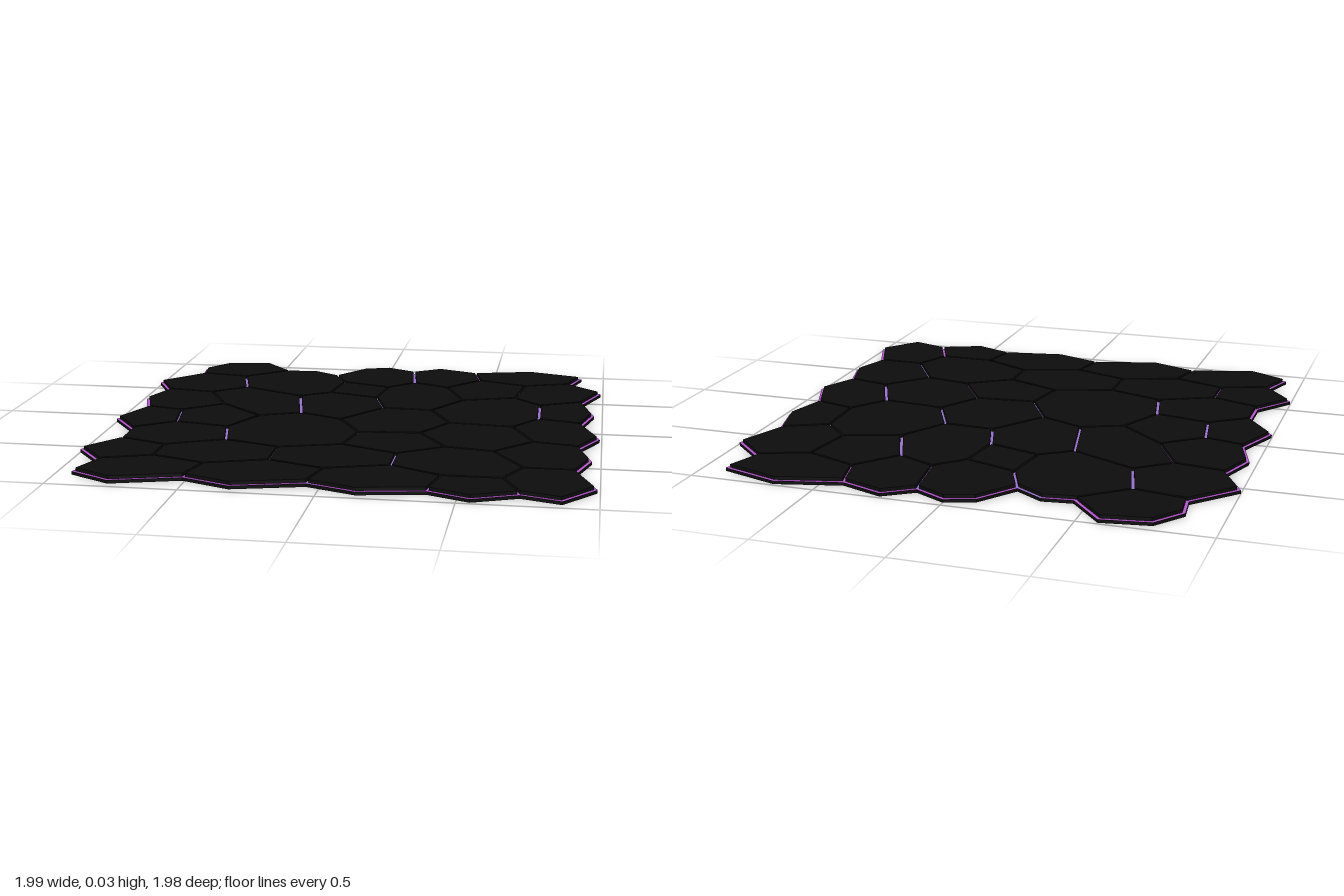
import * as THREE from 'three';
import { mergeGeometries } from 'three/addons/utils/BufferGeometryUtils.js';

const BASE_TOP = 0.012, TOP = 0.026;
const INNER_GAP = 0.0055, RIM_GAP = 0.012;

// Slab outline, clockwise from above: x, z pairs
const outline = [
  -0.77, -0.96, -0.58, -0.99, -0.45, -0.84, -0.33, -0.855, -0.22, -0.785, -0.115, -0.935,
  0, -0.975, 0.125, -0.91, 0.24, -0.988, 0.41, -0.925, 0.665, -0.99, 0.90, -0.915,
  0.85, -0.765, 0.99, -0.635, 0.915, -0.435, 0.965, -0.24, 0.92, -0.065, 0.992, 0.13,
  0.92, 0.285, 0.965, 0.45, 0.915, 0.61, 0.99, 0.81, 0.87, 0.965, 0.72, 0.915,
  0.55, 0.988, 0.39, 0.92, 0.14, 0.965, -0.05, 0.893, -0.32, 0.965, -0.51, 0.888,
  -0.77, 0.965, -0.935, 0.875, -0.885, 0.73, -1, 0.58, -0.888, 0.425, -0.888, 0.27,
  -1, 0.11, -0.925, -0.08, -0.973, -0.24, -0.918, -0.40, -1, -0.555, -0.845, -0.725,
  -0.858, -0.84];

// Points inside the slab where three tiles meet: x, z pairs
const joints = [
  -0.63, -0.69, -0.575, -0.48, -0.71, -0.37, -0.31, -0.355, -0.16, -0.645, -0.19, -0.44,
  0.05, -0.575, 0.025, -0.375, 0.155, -0.68, 0.31, -0.61, 0.445, -0.77, 0.655, -0.69,
  0.62, -0.46, 0.40, -0.385, 0.735, -0.345, 0.74, -0.115, 0.64, 0.03, 0.38, 0.005,
  0.285, -0.19, 0.08, -0.20, -0.07, 0.015, -0.25, -0.065, -0.415, 0.005, -0.605, -0.165,
  -0.76, -0.04, -0.73, 0.155, -0.505, 0.20, -0.465, 0.395, -0.685, 0.50, -0.685, 0.655,
  -0.47, 0.73, -0.24, 0.47, -0.24, 0.65, 0, 0.395, 0.035, 0.205, 0.28, 0.18,
  0.40, 0.37, 0.225, 0.49, 0.225, 0.65, -0.015, 0.73, 0.425, 0.755, 0.65, 0.755,
  0.715, 0.61, 0.59, 0.405, 0.735, 0.245];

// Corners of each tile, clockwise: below 100 is an outline point, 100 + n is a joint
const backTiles = [
  [42, 0, 1, 2, 100, 41], [2, 3, 4, 104, 105, 103, 101, 100], [4, 5, 6, 7, 108, 106, 104],
  [104, 106, 107, 105], [7, 8, 9, 110, 109, 108], [9, 10, 11, 12, 111, 110],
  [110, 111, 112, 113, 109], [12, 13, 14, 114, 112, 111],
  [108, 109, 113, 118, 119, 107, 106], [41, 100, 101, 102, 39, 40]];
const middleTiles = [
  [39, 102, 123, 124, 37, 38], [101, 103, 121, 122, 123, 102], [103, 105, 107, 119, 120, 121],
  [113, 112, 114, 115, 116, 117, 118], [114, 14, 15, 16, 115], [115, 16, 17, 18, 144, 116],
  [119, 118, 117, 135, 134, 120], [117, 116, 144, 143, 136, 135],
  [121, 120, 134, 133, 131, 127, 126, 122], [123, 122, 126, 125, 124], [37, 124, 125, 35, 36]];
const frontTiles = [
  [35, 125, 126, 127, 128, 34], [34, 128, 129, 32, 33], [128, 127, 131, 132, 130, 129],
  [131, 133, 137, 138, 139, 132], [134, 135, 136, 137, 133],
  [136, 143, 142, 141, 140, 138, 137], [143, 144, 18, 19, 20, 142],
  [142, 20, 21, 22, 23, 141], [140, 141, 23, 24, 25], [138, 140, 25, 26, 27, 139],
  [130, 132, 139, 27, 28, 29], [32, 129, 130, 29, 30, 31]];

const pointAt = (id) => {
  const list = id < 100 ? outline : joints, k = (id % 100) * 2;
  return new THREE.Vector2(list[k], list[k + 1]);
};

// Upright prism over a polygon given in x, z
function prism(points, y, height) {
  const shape = new THREE.Shape(points.map((p) => new THREE.Vector2(p.x, -p.y)));
  return new THREE.ExtrudeGeometry(shape, { depth: height, bevelEnabled: false })
    .rotateX(-Math.PI / 2).translate(0, y, 0);
}

// Moves every edge of a tile inwards by its gap and intersects neighbouring edges
function inset(ids) {
  const edges = ids.map((id, i) => {
    const next = ids[(i + 1) % ids.length], a = pointAt(id);
    const d = pointAt(next).sub(a).normalize();
    const gap = id < 100 && next < 100 ? RIM_GAP : INNER_GAP;
    return { p: a.add(new THREE.Vector2(-d.y, d.x).multiplyScalar(gap)), d };
  });
  return edges.map((e, i) => {
    const f = edges[(i + ids.length - 1) % ids.length];
    const t = e.p.clone().sub(f.p).cross(e.d) / f.d.cross(e.d);
    return f.p.clone().addScaledVector(f.d, t);
  });
}

// Flat triangles under a tile, one per edge, sorted into inner and outer glow
function addGlow(ids, inner, outer) {
  const pts = ids.map(pointAt), y = BASE_TOP + 0.001;
  const c = pts.reduce((s, p) => s.add(p), new THREE.Vector2()).divideScalar(pts.length);
  pts.forEach((a, i) => {
    const b = pts[(i + 1) % pts.length];
    const far = a.clone().add(b).length() / 2 > 0.87;
    (far ? outer : inner).push(c.x, y, c.y, b.x, y, b.y, a.x, y, a.y);
  });
}

function flat(positions) {
  const g = new THREE.BufferGeometry();
  g.setAttribute('position', new THREE.Float32BufferAttribute(positions, 3));
  g.computeVertexNormals();
  return g;
}

export function createModel() {
  const material = (name, color) => {
    const m = new THREE.MeshStandardMaterial({ color });
    m.name = name;
    return m;
  };
  const black = material('black stone', 0x0d0d0d);
  const violet = material('violet glow', 0x9a72d0);
  const magenta = material('magenta glow', 0xb955d3);

  const group = new THREE.Group();
  group.name = 'crackedFloor';
  const add = (name, geometry, mat) => {
    const mesh = new THREE.Mesh(geometry, mat);
    mesh.name = name;
    group.add(mesh);
  };

  // Base slab
  const rim = Array.from({ length: outline.length / 2 }, (_, i) => pointAt(i));
  add('baseSlab', prism(rim, 0, BASE_TOP), black);

  // Tiles and the glow that shows in the cracks
  const inner = [], outer = [];
  const rows = { backTiles, middleTiles, frontTiles };
  for (const [name, tiles] of Object.entries(rows)) {
    add(name, mergeGeometries(tiles.map((ids) => prism(inset(ids), BASE_TOP, TOP - BASE_TOP))), black);
    tiles.forEach((ids) => addGlow(ids, inner, outer));
  }
  add('innerCrackGlow', flat(inner), violet);
  add('outerCrackGlow', flat(outer), magenta);

  return group;
}
